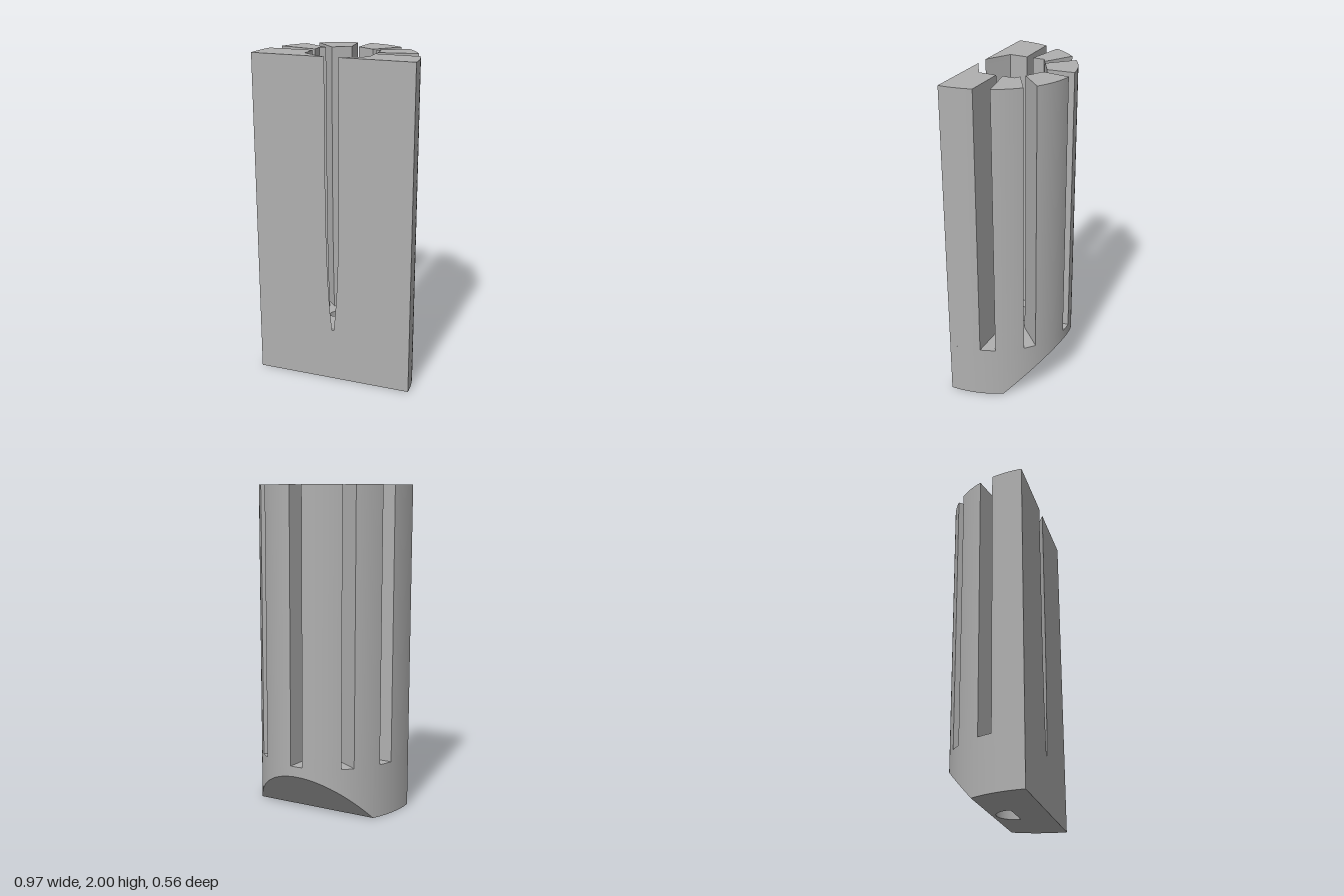
import * as THREE from 'three';
import { toCreasedNormals } from 'three/addons/utils/BufferGeometryUtils.js';

const FRONT = 0.2825, RX = 0.485, RZ = 0.565; // half-ellipse footprint
const HEX_Z = 0.087, HOLE_R = 0.103;          // socket centre and drain hole
const FLOOR = 0.33, TOP = 2;                  // slot floor and top height
const CHAMFER_Z = -0.04, CHAMFER_SLOPE = 1.1; // sloped underside at the back

// Plan points are (x, -z), so counter-clockwise is seen from above.
const plan = (x, z) => new THREE.Vector2(x, -z);
const rimPoint = (t) => plan(RX * Math.cos(t), FRONT - RZ * Math.sin(t));
const rim = (t0, t1, n) =>
  Array.from({ length: n + 1 }, (_, i) => rimPoint(t0 + ((t1 - t0) * i) / n));

// Socket faces on the +x side, as outward normals in plan
const centre = plan(0, HEX_Z);
const SIDE = new THREE.Vector2(1, 0);
const BACK = new THREE.Vector2(0.5, Math.sqrt(3) / 2);

// Where the slot wall from rim angle t towards inner point q meets a socket face
function hit(t, q, face, a) {
  const p = rimPoint(t);
  const d = q.clone().sub(p);
  const k = (a - face.dot(p.clone().sub(centre))) / face.dot(d);
  return p.addScaledVector(d, k);
}

// Prong outlines for socket apothem a
const prongs = {
  frontProng: (a) => [
    ...rim(0, 0.35, 10),
    hit(0.35, plan(0.19, 0.088), SIDE, a),
    plan(a, HEX_Z + a / Math.sqrt(3)),
    plan(2 * (a - (FRONT - HEX_Z) * Math.sqrt(3) / 2), FRONT),
  ],
  sideProng: (a) => [
    ...rim(0.521, 0.853, 10),
    hit(0.853, plan(0.157, -0.043), BACK, a),
    plan(a, HEX_Z - a / Math.sqrt(3)),
    hit(0.521, plan(0.19, 0.048), SIDE, a),
  ],
  backProng: (a) => [
    ...rim(1.006, 1.488, 12),
    hit(1.488, plan(0.022, -0.121), BACK, a),
    hit(1.006, plan(0.128, -0.06), BACK, a),
  ],
};

// [height, socket apothem]: the socket narrows towards its floor
const LEVELS = [[FLOOR, 0.172], [0.45, 0.178], [0.6, 0.183], [0.8, 0.187], [1.1, 0.19], [TOP, 0.19]];

// Skin a stack of outlines and close both ends
function loft(outline, mirrored) {
  const rings = LEVELS.map(([y, a]) => {
    let pts = outline(a);
    if (mirrored) pts = pts.map((p) => new THREE.Vector2(-p.x, p.y)).reverse();
    return { y, pts };
  });
  const pos = [];
  const put = (ring, i) => pos.push(ring.pts[i].x, ring.y, -ring.pts[i].y);
  const n = rings[0].pts.length;
  for (let r = 0; r < rings.length - 1; r++) {
    const lo = rings[r], hi = rings[r + 1];
    for (let i = 0; i < n; i++) {
      const j = (i + 1) % n;
      put(lo, i); put(lo, j); put(hi, j);
      put(lo, i); put(hi, j); put(hi, i);
    }
  }
  const last = rings[rings.length - 1];
  for (const [a, b, c] of THREE.ShapeUtils.triangulateShape(last.pts, [])) {
    put(last, a); put(last, b); put(last, c);
  }
  for (const [a, b, c] of THREE.ShapeUtils.triangulateShape(rings[0].pts, [])) {
    put(rings[0], a); put(rings[0], c); put(rings[0], b);
  }
  const geo = new THREE.BufferGeometry();
  geo.setAttribute('position', new THREE.Float32BufferAttribute(pos, 3));
  return toCreasedNormals(geo, 0.4);
}

// Upright slab from the ground to the slot floor
function slab(shape) {
  return new THREE.ExtrudeGeometry(shape, { depth: FLOOR, bevelEnabled: false, curveSegments: 32 })
    .rotateX(-Math.PI / 2);
}

export function createModel() {
  const group = new THREE.Group();
  const grey = new THREE.MeshStandardMaterial({ color: 0xb0b0b0 });
  grey.name = 'grey';
  const add = (name, geo) => {
    const mesh = new THREE.Mesh(geo, grey);
    mesh.name = name;
    group.add(mesh);
  };

  // Base: flat-bottomed front with a round hole
  const t = Math.asin((FRONT - CHAMFER_Z) / RZ);
  const frontShape = new THREE.Shape([...rim(0, t, 14), ...rim(Math.PI - t, Math.PI, 14)]);
  const hole = new THREE.Path();
  hole.absarc(0, -HEX_Z, HOLE_R, 0, Math.PI * 2, true);
  frontShape.holes.push(hole);
  add('baseFront', toCreasedNormals(slab(frontShape), 0.4));

  // Base: back with its underside sloping up
  const back = slab(new THREE.Shape(rim(t, Math.PI - t, 48)));
  const p = back.attributes.position;
  for (let i = 0; i < p.count; i++) {
    if (p.getY(i) < 0.01) p.setY(i, Math.max(0, (CHAMFER_Z - p.getZ(i)) * CHAMFER_SLOPE));
  }
  add('baseBack', toCreasedNormals(back, 0.4));

  // Six prongs around the socket
  for (const [name, outline] of Object.entries(prongs)) {
    add(name + 'Left', loft(outline, false));
    add(name + 'Right', loft(outline, true));
  }
  return group;
}
